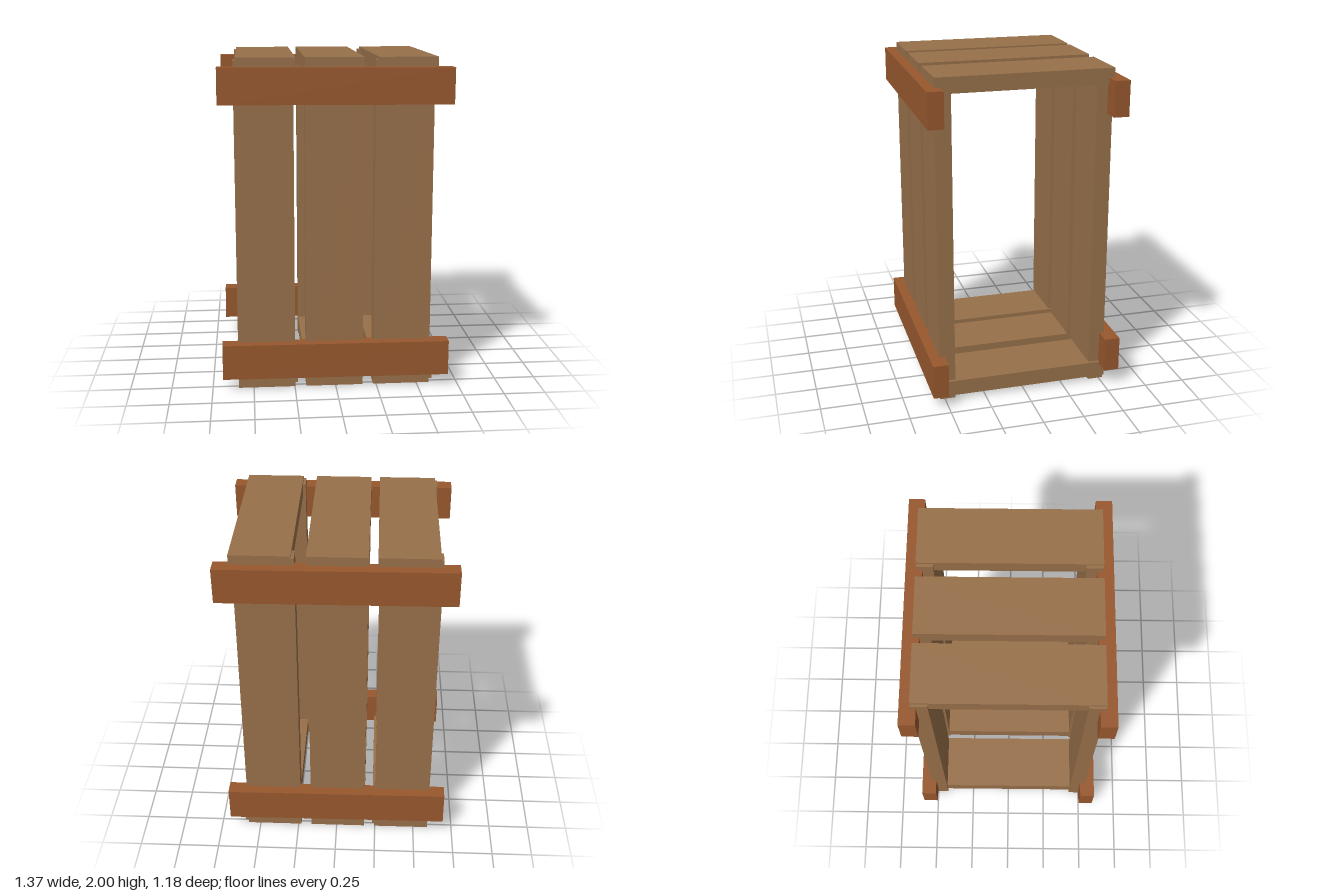
import * as THREE from 'three';

const plankMaterial = new THREE.MeshStandardMaterial({ color: 0x98704a });
const railMaterial = new THREE.MeshStandardMaterial({ color: 0x98582e });

// Box given by its minimum and maximum corners
function board(name, material, [x0, y0, z0], [x1, y1, z1]) {
  const geometry = new THREE.BoxGeometry(x1 - x0, y1 - y0, z1 - z0);
  const mesh = new THREE.Mesh(geometry, material);
  mesh.name = name;
  mesh.position.set((x0 + x1) / 2, (y0 + y1) / 2, (z0 + z1) / 2);
  return mesh;
}

export function createModel() {
  const crate = new THREE.Group();
  crate.name = 'crate';

  // Upright planks on the front and back
  for (const [x0, x1] of [[-0.593, -0.247], [-0.18, 0.166], [0.232, 0.578]]) {
    crate.add(board('frontPlank', plankMaterial, [x0, 0, 0.433], [x1, 1.985, 0.53]));
    crate.add(board('backPlank', plankMaterial, [x0, 0, -0.526], [x1, 1.985, -0.43]));
  }

  // Top and bottom planks, set slightly off the upright ones
  for (const [x0, x1] of [[-0.579, -0.233], [-0.18, 0.166], [0.25, 0.597]]) {
    crate.add(board('topPlank', plankMaterial, [x0, 1.905, -0.528], [x1, 2, 0.531]));
    crate.add(board('bottomPlank', plankMaterial, [x0, 0.027, -0.528], [x1, 0.123, 0.531]));
  }

  // Cross rails, each nailed on a touch out of level
  const rails = [
    ['frontTopRail', 1.732, 0.497, -0.005],
    ['frontBottomRail', 0.076, 0.497, -0.005],
    ['backTopRail', 1.732, -0.589, -0.005],
    ['backBottomRail', 0.11, -0.589, -0.006],
  ];
  for (const [name, y, z, tilt] of rails) {
    const rail = board(name, railMaterial, [-0.686, y, z], [0.686, y + 0.213, z + 0.094]);
    rail.rotation.z = tilt;
    crate.add(rail);
  }

  return crate;
}
